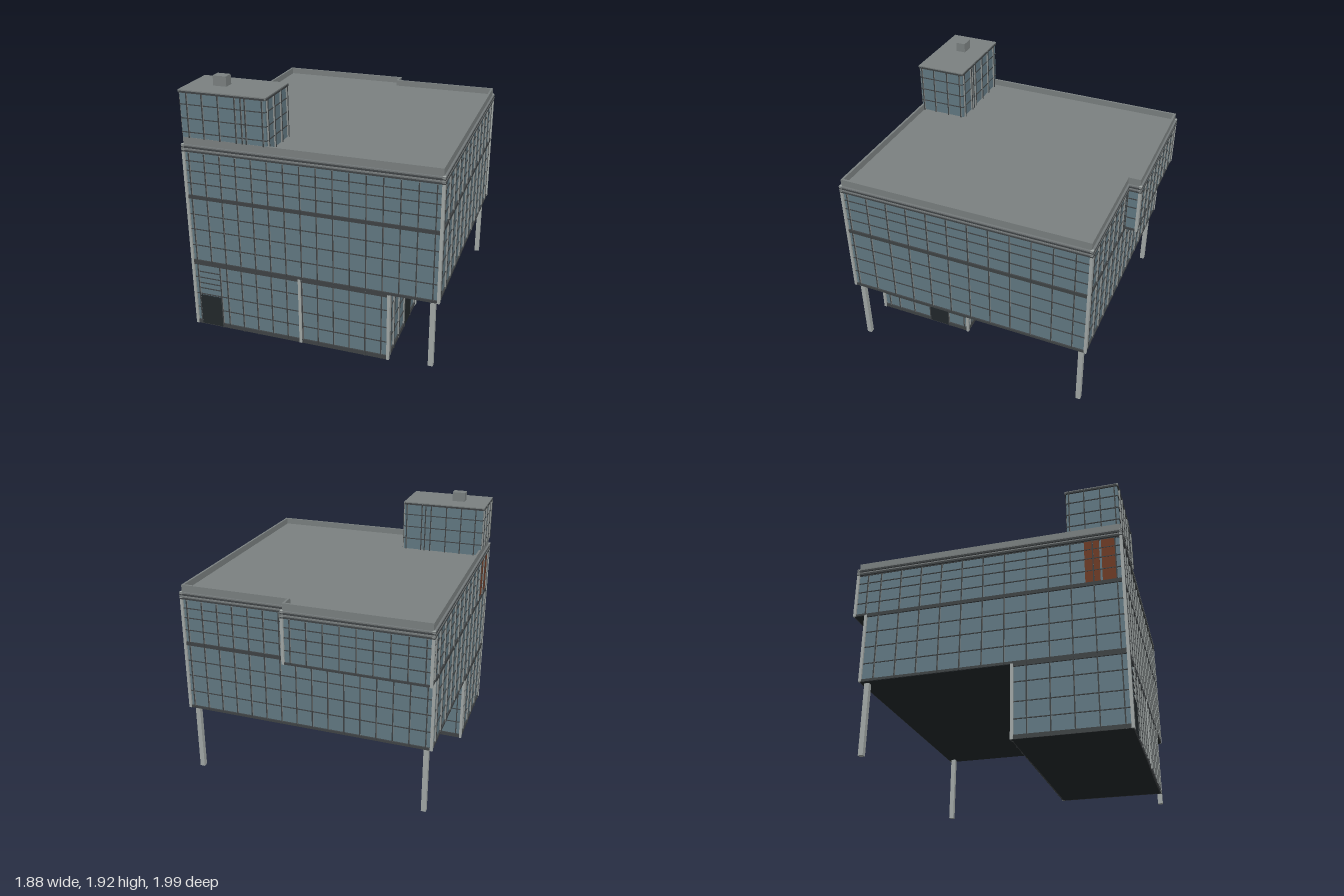
import * as THREE from 'three';
import { mergeGeometries } from 'three/addons/utils/BufferGeometryUtils.js';

const mat = (color) => new THREE.MeshStandardMaterial({ color, side: THREE.DoubleSide });
const GLASS = mat(0x627983), FRAME = mat(0x3f4345), FIN = mat(0x8b908f), STEEL = mat(0xa3a9a7);
const ROOF = mat(0x7b8181), SLAT = mat(0x74797a), DARK = mat(0x22282b), RUST = mat(0x6e3b26);

// axis-aligned box geometry from its minimum and maximum corners
function span(x0, x1, y0, y1, z0, z1) {
  return new THREE.BoxGeometry(x1 - x0, y1 - y0, z1 - z0)
    .translate((x0 + x1) / 2, (y0 + y1) / 2, (z0 + z1) / 2);
}

// evenly pitched positions between two ends
function pitch(start, end, step) {
  const list = [];
  for (let u = start; u <= end + 1e-6; u += step) list.push(u);
  return list;
}

export function createModel() {
  const model = new THREE.Group();
  model.name = 'officeBuilding';
  const add = (name, geometry, material, parent = model) => {
    const mesh = new THREE.Mesh(geometry, material);
    mesh.name = name;
    parent.add(mesh);
    return mesh;
  };

  // box lying on a wall; axis is the wall's normal, u runs along the wall
  const onWall = (w, u0, u1, y0, y1, depth) => {
    const p0 = Math.min(w.at, w.at + w.sign * depth), p1 = Math.max(w.at, w.at + w.sign * depth);
    return w.axis === 'z' ? span(u0, u1, y0, y1, p0, p1) : span(p0, p1, y0, y1, u0, u1);
  };

  // curtain wall: fins with dark caps, transoms and heavier floor bands
  function facade(name, axis, sign, at, u0, u1, y0, y1, cols, rows, bands) {
    const wall = { axis, sign, at };
    const group = new THREE.Group();
    group.name = name;
    const fins = [], bars = [];
    for (const u of cols) {
      fins.push(onWall(wall, u - 0.003, u + 0.003, y0, y1, 0.012));
      bars.push(onWall({ axis, sign, at: at + sign * 0.012 }, u - 0.004, u + 0.004, y0, y1, 0.003));
    }
    for (const y of rows) bars.push(onWall(wall, u0, u1, y - 0.003, y + 0.003, 0.006));
    for (const [b0, b1] of bands) bars.push(onWall(wall, u0, u1, b0, b1, 0.011));
    add('mullionFins', mergeGeometries(fins), FIN, group);
    add('frameBars', mergeGeometries(bars), FRAME, group);
    model.add(group);
    return wall;
  }

  // L-shaped plan of the upper floors, grown or shrunk by o, as a flat slab or ring
  const plan = (o, Type = THREE.Shape) => new Type([
    [-0.925 - o, -0.98 - o], [0.11 + o, -0.98 - o], [0.11 + o, -0.89 - o],
    [0.925 + o, -0.89 - o], [0.925 + o, 0.98 + o], [-0.925 - o, 0.98 + o],
  ].map(([x, z]) => new THREE.Vector2(x, -z)));
  const slab = (outer, y0, y1, inner) => {
    const shape = plan(outer);
    if (inner !== undefined) shape.holes.push(plan(inner, THREE.Path));
    return new THREE.ExtrudeGeometry(shape, { depth: y1 - y0, bevelEnabled: false })
      .rotateX(-Math.PI / 2).translate(0, y0, 0);
  };

  // glazed volumes
  add('mainGlass', span(-0.925, 0.925, 0.535, 1.45, -0.89, 0.98), GLASS);
  add('rearBayGlass', span(-0.925, 0.11, 1.065, 1.45, -0.98, -0.885), GLASS);
  add('groundGlass', span(-0.925, 0.575, 0.005, 0.54, 0.215, 0.98), GLASS);
  add('penthouseGlass', span(-0.925, -0.29, 1.46, 1.84, 0.61, 0.98), GLASS);

  // dark undersides
  add('mainSoffit', span(-0.93, 0.93, 0.528, 0.537, -0.895, 0.985), DARK);
  add('rearBaySoffit', span(-0.93, 0.115, 1.058, 1.067, -0.985, -0.88), DARK);
  add('groundBase', span(-0.93, 0.58, 0, 0.008, 0.21, 0.985), DARK);

  // main storeys
  const xCols = pitch(-0.89, 0.9, 0.1187), zCols = pitch(-0.795, 0.95, 0.158);
  const upper = [1.165, 1.26, 1.335], lower = [0.67, 0.8, 0.92];
  const floorBand = [1.045, 1.072], baseBand = [0.53, 0.548];
  facade('frontFacade', 'z', 1, 0.98, -0.925, 0.925, 0.535, 1.4, xCols,
    [...lower, ...upper], [floorBand, baseBand]);
  for (const s of [-1, 1]) {
    facade(s > 0 ? 'leftFacade' : 'rightFacade', 'x', s, s * 0.925, -0.89, 0.98, 0.535, 1.4, zCols,
      [...lower, ...upper], [floorBand, baseBand]);
  }
  facade('rearLowerFacade', 'z', -1, -0.89, -0.925, 0.925, 0.535, 1.05, xCols, lower, [baseBand, floorBand]);
  facade('rearUpperFacade', 'z', -1, -0.89, 0.11, 0.925, 1.05, 1.4, xCols.filter((x) => x > 0.15), upper, []);
  facade('rearBayFacade', 'z', -1, -0.98, -0.925, 0.11, 1.065, 1.4, xCols.filter((x) => x < 0.1), upper, [[1.06, 1.075]]);
  facade('rearBayLeftSide', 'x', 1, 0.11, -0.98, -0.89, 1.065, 1.4, [-0.9], upper, [[1.06, 1.075]]);
  facade('rearBayRightSide', 'x', -1, -0.925, -0.98, -0.89, 1.065, 1.4, [-0.9], upper, [[1.06, 1.075]]);

  // rust-coloured panels on one upper corner
  for (const [z0, z1] of [[0.725, 0.83], [0.845, 0.945]]) {
    add('rustPanel', span(-0.929, -0.92, 1.075, 1.4, z0, z1), RUST);
  }

  // ground floor
  const gRows = [0.14, 0.26, 0.4], gBands = [[0, 0.03], [0.51, 0.535]];
  const gFront = facade('groundFront', 'z', 1, 0.98, -0.925, 0.575, 0, 0.53,
    [-0.89, -0.71, ...pitch(-0.655, 0.56, 0.1187)], gRows, gBands);
  facade('groundRear', 'z', -1, 0.215, -0.925, 0.575, 0, 0.53, pitch(-0.89, 0.56, 0.1187), gRows, gBands);
  const gLeft = facade('groundLeftSide', 'x', 1, 0.575, 0.215, 0.98, 0, 0.53,
    [0.24, 0.38, 0.55, 0.7, 0.84, 0.93], gRows, gBands);
  facade('groundRightSide', 'x', -1, -0.925, 0.215, 0.98, 0, 0.53, pitch(0.31, 0.95, 0.158), gRows, gBands);

  // doors with small transom lights above
  for (const [name, wall, u0, u1] of [['frontDoor', gFront, -0.885, -0.715], ['sideDoor', gLeft, 0.384, 0.546]]) {
    add(name, onWall(wall, u0, u1, 0.005, 0.25, 0.012), DARK);
    add(name + 'Transoms', mergeGeometries([0.31, 0.355, 0.45].map((y) =>
      onWall(wall, u0, u1, y - 0.003, y + 0.003, 0.007))), FRAME);
  }

  // pale corner posts: x, z, bottom, top
  const posts = [
    [-0.93, 0.985, 0, 1.46], [0.93, 0.985, 0.53, 1.46], [0.93, -0.895, 0.53, 1.46],
    [-0.93, -0.895, 0.53, 1.06], [-0.93, -0.985, 1.06, 1.46], [0.115, -0.985, 1.06, 1.46],
    [0.583, 0.985, 0, 0.53], [0.583, 0.21, 0, 0.53], [-0.93, 0.21, 0, 0.53], [-0.08, 0.985, 0, 0.53],
  ];
  for (const [x, z, y0, y1] of posts) {
    add('cornerPost', span(x - 0.01, x + 0.01, y0, y1, z - 0.01, z + 0.01), STEEL);
  }

  // free-standing columns under the overhang
  for (const [x, z] of [[0.888, 0.95], [0.888, -0.855], [-0.888, -0.855]]) {
    add('column', span(x - 0.018, x + 0.018, 0, 0.53, z - 0.018, z + 0.018), STEEL);
  }

  // louvred cornice, roof and parapet
  add('corniceBand', slab(0.004, 1.4, 1.455, -0.01), FRAME);
  for (let i = 0; i < 4; i++) {
    const y = 1.405 + i * 0.0145;
    add('corniceLouvre', slab(0.016, y, y + 0.009, -0.01), i % 2 ? SLAT : FRAME);
  }
  add('roofDeck', slab(0, 1.445, 1.462), ROOF);
  add('parapet', slab(0.002, 1.455, 1.51, -0.014), ROOF);

  // penthouse
  const pRows = [1.55, 1.65, 1.75], pBands = [[1.832, 1.845]];
  const pCols = [-0.87, -0.755, -0.635, -0.51, -0.465, -0.435, -0.31];
  facade('penthouseFront', 'z', 1, 0.98, -0.925, -0.29, 1.51, 1.845, pCols, pRows, pBands);
  facade('penthouseRear', 'z', -1, 0.61, -0.925, -0.29, 1.462, 1.845, pCols, pRows, pBands);
  for (const s of [-1, 1]) {
    facade(s > 0 ? 'penthouseLeft' : 'penthouseRight', 'x', s, s > 0 ? -0.29 : -0.925, 0.61, 0.98,
      s > 0 ? 1.462 : 1.51, 1.845, [0.63, 0.74, 0.855, 0.96], pRows, pBands);
  }
  add('penthouseRoof', span(-0.933, -0.282, 1.838, 1.853, 0.602, 0.988), ROOF);
  add('roofVent', span(-0.745, -0.645, 1.85, 1.925, 0.755, 0.83), ROOF);

  return model;
}
